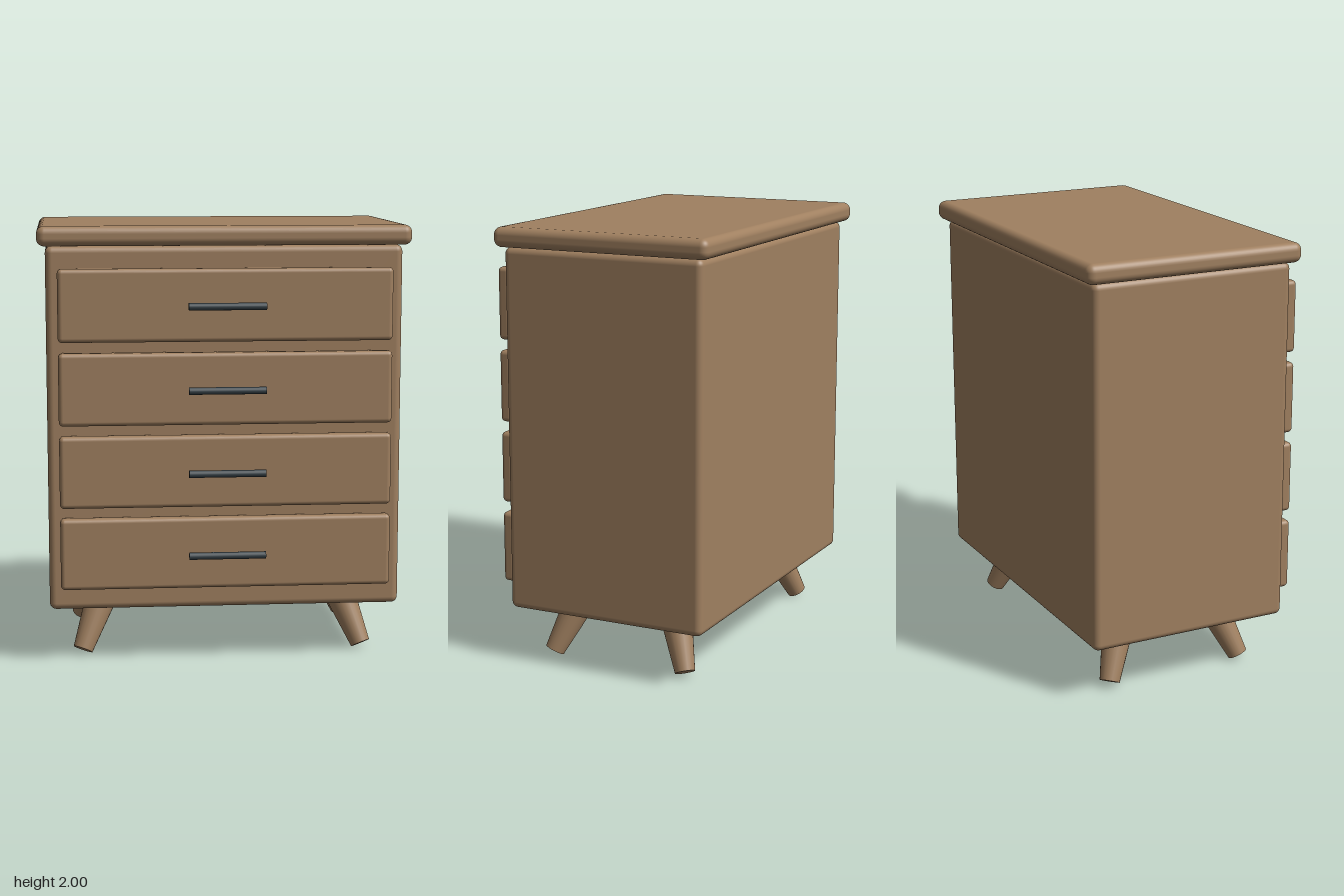
import * as THREE from 'three';
import { RoundedBoxGeometry } from 'three/addons/geometries/RoundedBoxGeometry.js';

export function createModel() {
  const model = new THREE.Group();
  model.name = 'chestOfDrawers';

  const wood = new THREE.MeshStandardMaterial({ color: 0xa08060 });
  wood.name = 'warm wood';
  const metal = new THREE.MeshStandardMaterial({ color: 0x3a454b });
  metal.name = 'dark metal';

  const add = (name, geometry, material, x, y, z) => {
    const mesh = new THREE.Mesh(geometry, material);
    mesh.name = name;
    mesh.position.set(x, y, z);
    model.add(mesh);
    return mesh;
  };

  const midZ = -0.05; // depth centre of the carcass

  // Carcass and overhanging top
  add('body', new RoundedBoxGeometry(1.61, 1.66, 0.965, 4, 0.03), wood, 0, 1.08, midZ);
  add('topBoard', new RoundedBoxGeometry(1.685, 0.09, 1.042, 4, 0.035), wood, 0, 1.955, midZ - 0.002);

  // Four drawer fronts, each with a floating bar handle
  const drawerGeometry = new RoundedBoxGeometry(1.506, 0.328, 0.06, 4, 0.02);
  const handleGeometry = new THREE.CylinderGeometry(0.0165, 0.0165, 0.347, 16).rotateZ(Math.PI / 2);
  for (let i = 0; i < 4; i++) {
    const y = 0.52 + i * 0.376;
    add('drawerFront' + (i + 1), drawerGeometry, wood, 0, y, 0.467);
    add('handle' + (i + 1), handleGeometry, metal, 0, y, 0.556);
  }

  // Tapered legs splayed outwards along both axes
  const up = new THREE.Vector3(0, 1, 0);
  for (const sx of [1, -1]) {
    for (const sz of [1, -1]) {
      const top = new THREE.Vector3(sx * 0.567, 0.248, midZ + sz * 0.248);
      const foot = new THREE.Vector3(sx * 0.655, 0.022, midZ + sz * 0.336);
      const axis = top.clone().sub(foot);
      const centre = top.clone().add(foot).multiplyScalar(0.5);
      const name = (sz > 0 ? 'front' : 'back') + (sx > 0 ? 'Left' : 'Right') + 'Leg';
      const leg = add(name, new THREE.CylinderGeometry(0.073, 0.046, axis.length(), 24),
        wood, centre.x, centre.y, centre.z);
      leg.quaternion.setFromUnitVectors(up, axis.normalize());
    }
  }

  return model;
}
